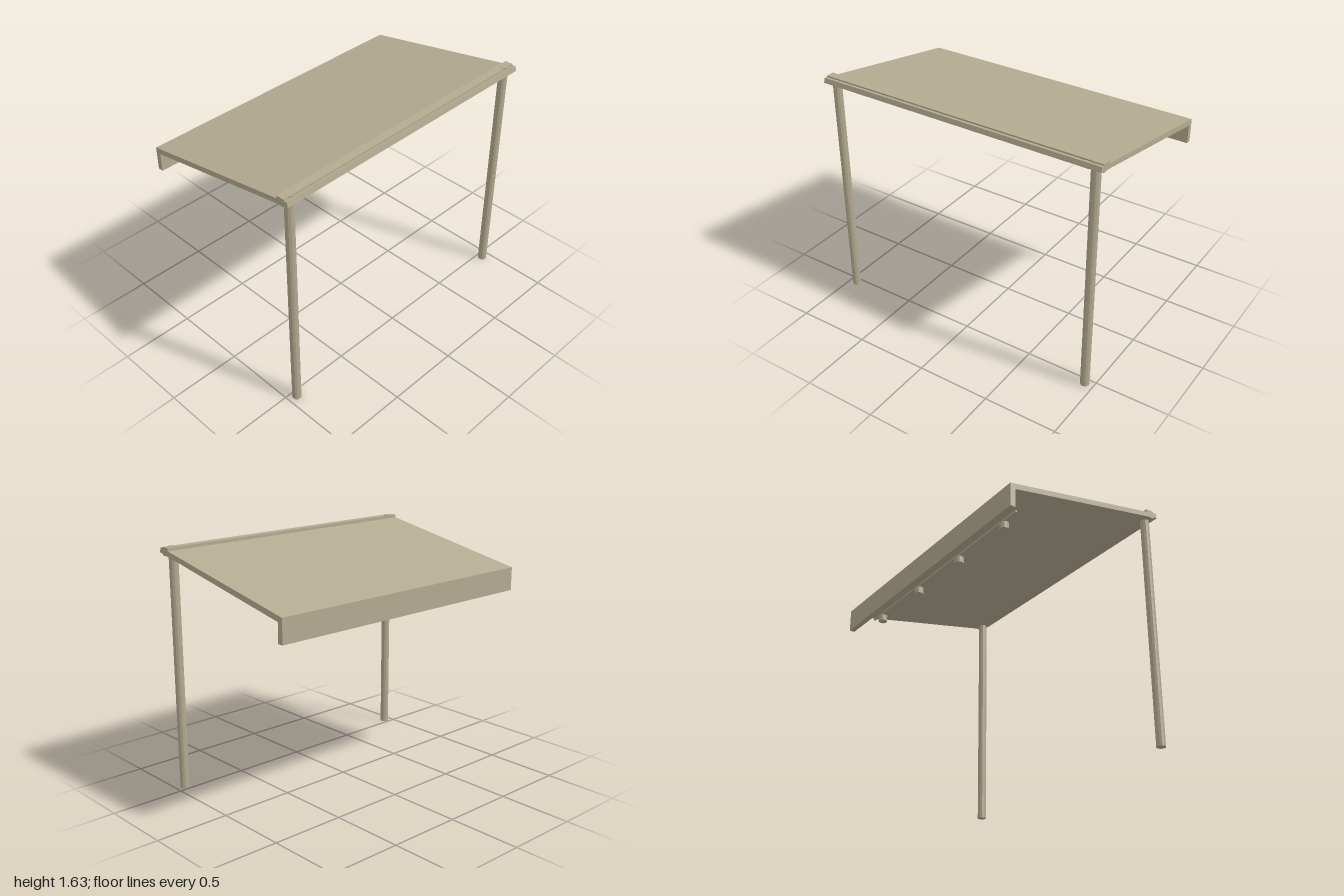
import * as THREE from 'three';

export function createModel() {
  const model = new THREE.Group();
  model.name = 'canopy';
  const tan = new THREE.MeshStandardMaterial({ color: 0xb3aa90, flatShading: true });
  tan.name = 'tan';

  const add = (name, geometry, x, y, z) => {
    const mesh = new THREE.Mesh(geometry, tan);
    mesh.name = name;
    mesh.position.set(x, y, z);
    model.add(mesh);
  };

  // Sloping roof and rear drop panel, one side profile drawn as (z, y)
  const profile = new THREE.Shape([
    [0.596, 1.586], [0.589, 1.619], [-0.594, 1.392], [-0.594, 1.235],
    [-0.557, 1.235], [-0.557, 1.361],
  ].map(([z, y]) => new THREE.Vector2(z, y)));
  const roof = new THREE.ExtrudeGeometry(profile, { depth: 2, bevelEnabled: false });
  roof.rotateY(-Math.PI / 2); // (z, y, depth) -> (-depth, y, z)
  add('roof', roof, 1, 0, 0);

  // Level front beam through the roof
  add('frontBeam', new THREE.BoxGeometry(2, 0.054, 0.055), 0, 1.597, 0.536);

  // Front posts
  for (const [side, x] of [['left', 0.94], ['right', -0.94]]) {
    add(side + 'Post', new THREE.CylinderGeometry(0.03, 0.03, 1.626, 12), x, 0.813, 0.54);
  }

  // Light rail with four hanging lamps
  add('lightRail', new THREE.BoxGeometry(1.75, 0.012, 0.012), 0, 1.311, -0.46);
  [-0.75, -0.25, 0.25, 0.75].forEach((x, i) => {
    add('lamp' + (i + 1), new THREE.CylinderGeometry(0.03, 0.03, 0.044, 12), x, 1.267, -0.46);
  });

  return model;
}
